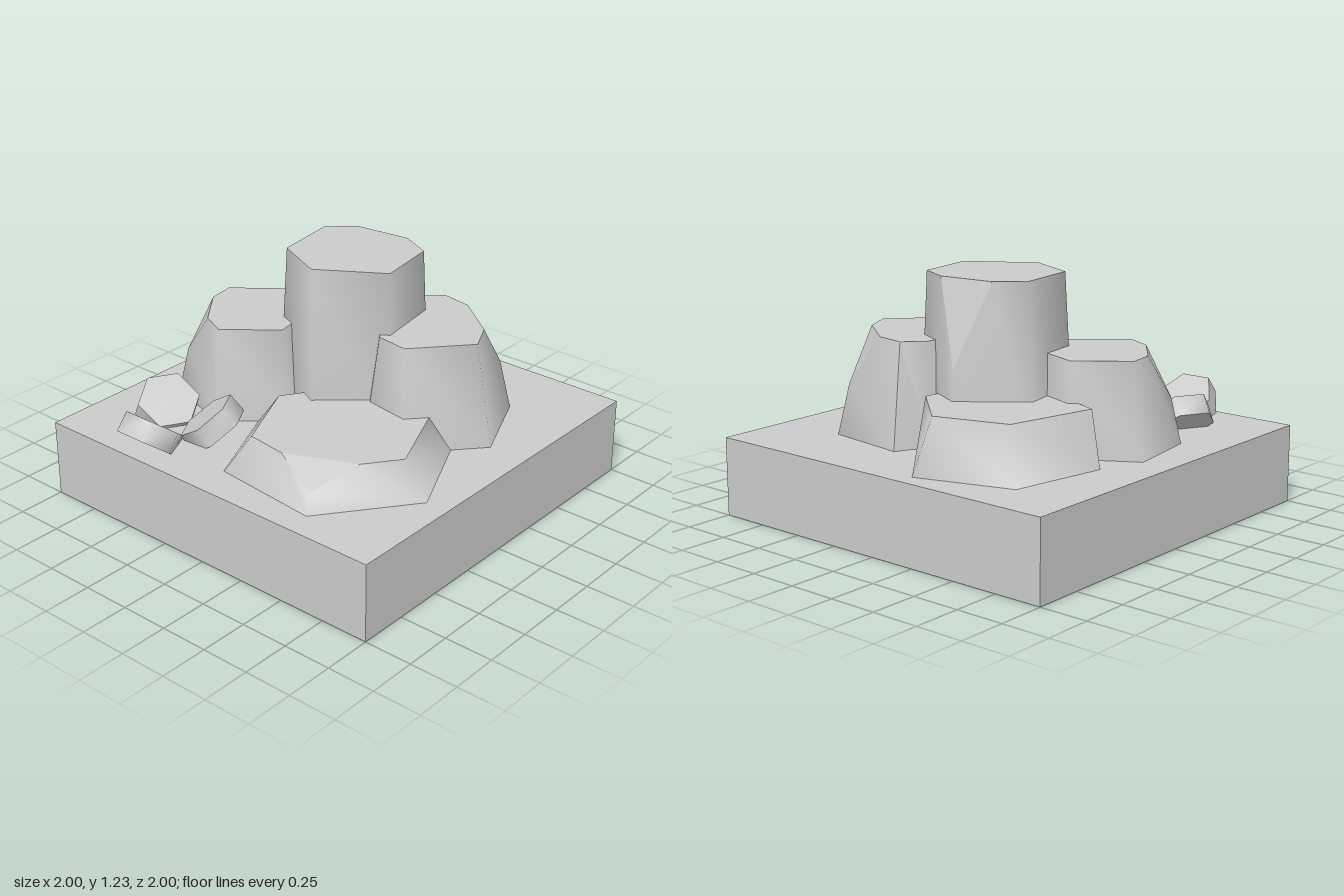
import * as THREE from 'three';
import { toCreasedNormals, mergeGeometries } from 'three/addons/utils/BufferGeometryUtils.js';

const GROUND = 0.4;
const material = new THREE.MeshStandardMaterial({ color: 0xcccccc });

// Flat list of triangles fanned over convex polygons
function fans(polygons) {
  const points = [];
  for (const p of polygons)
    for (let k = 1; k < p.length - 1; k++) points.push(p[0], p[k], p[k + 1]);
  const g = new THREE.BufferGeometry().setFromPoints(points);
  g.computeVertexNormals();
  return g;
}

// Tapered rock between two outlines of [x, z], clockwise from above;
// the corner with index chip is cut off halfway along its three edges
function rock(name, height, bottom, top, chip = -1) {
  const n = bottom.length;
  const b = bottom.map(([x, z]) => new THREE.Vector3(x, GROUND, z));
  const t = top.map(([x, z]) => new THREE.Vector3(x, height, z));
  const mid = (p, q) => p.clone().lerp(q, 0.5);
  const cut = chip >= 0 && {
    before: mid(t[chip], t[(chip + n - 1) % n]),
    after: mid(t[chip], t[(chip + 1) % n]),
    apex: mid(t[chip], b[chip]),
  };
  const sides = [], cap = [];
  for (let i = 0; i < n; i++) {
    const j = (i + 1) % n;
    sides.push([
      b[i],
      ...(i === chip ? [cut.apex, cut.after] : [t[i]]),
      ...(j === chip ? [cut.before, cut.apex] : [t[j]]),
      b[j],
    ]);
    cap.push(...(i === chip ? [cut.before, cut.after] : [t[i]]));
  }
  const flat = [cap.reverse(), b];
  if (cut) flat.push([cut.apex, cut.before, cut.after]);
  const geometry = mergeGeometries([toCreasedNormals(fans(sides), 1.2), fans(flat)]);
  const mesh = new THREE.Mesh(geometry, material);
  mesh.name = name;
  return mesh;
}

export function createModel() {
  const model = new THREE.Group();
  model.name = 'rockFormation';

  // Square ground block
  const base = new THREE.Mesh(new THREE.BoxGeometry(2, GROUND, 2), material);
  base.position.y = GROUND / 2;
  base.name = 'groundBlock';
  model.add(base);

  // Large rocks
  model.add(
    rock('centralRock', 1.23,
      [[-0.26, 0.04], [-0.09, -0.32], [0.30, -0.40], [0.545, -0.08], [0.37, 0.275], [0, 0.335]],
      [[-0.185, -0.02], [-0.06, -0.285], [0.27, -0.33], [0.50, -0.08], [0.34, 0.25], [0.015, 0.30]], 3),
    rock('frontRock', 0.915,
      [[-0.13, 0.51], [-0.085, 0.24], [0.2, 0.02], [0.49, 0.10], [0.655, 0.185], [0.60, 0.62], [0.19, 0.795]],
      [[-0.065, 0.455], [-0.04, 0.285], [0.2, 0.1], [0.47, 0.135], [0.56, 0.225], [0.51, 0.54], [0.20, 0.69]], 5),
    rock('backRock', 0.865,
      [[-0.47, -0.40], [-0.35, -0.78], [0.04, -0.835], [0.235, -0.515], [0.13, -0.2], [-0.235, -0.125]],
      [[-0.40, -0.435], [-0.27, -0.71], [0.005, -0.75], [0.19, -0.515], [0.10, -0.25], [-0.20, -0.195]], 1),
    rock('wideLowRock', 0.57,
      [[-0.865, 0.54], [-0.81, -0.025], [-0.34, -0.24], [0.1, 0.1], [0.1, 0.64], [-0.42, 0.88]],
      [[-0.755, 0.48], [-0.70, 0.055], [-0.31, -0.125], [0.02, 0.1], [0.02, 0.56], [-0.405, 0.74]], 0),
    rock('sideRock', 0.665,
      [[0.1, -0.4], [0.265, -0.755], [0.76, -0.665], [0.915, -0.18], [0.55, 0.13], [0.2, 0.1]],
      [[0.12, -0.4], [0.22, -0.67], [0.68, -0.565], [0.795, -0.195], [0.53, 0.09], [0.2, 0.05]]),
  );

  // Cluster of three slabs leaning outward from a common centre
  const cluster = new THREE.Group();
  cluster.name = 'smallRockCluster';
  cluster.position.set(-0.677, 0, -0.468);
  const slab = toCreasedNormals(new THREE.CylinderGeometry(0.157, 0.16, 0.105, 6), 1.2);
  for (const angle of [Math.PI, Math.PI / 3, -Math.PI / 3]) {
    const arm = new THREE.Group();
    arm.name = 'smallRock';
    arm.rotation.y = angle;
    const mesh = new THREE.Mesh(slab, material);
    mesh.name = 'smallRockSlab';
    mesh.position.set(0.178, 0.465, 0);
    mesh.rotation.z = 0.66;
    arm.add(mesh);
    cluster.add(arm);
  }
  model.add(cluster);

  return model;
}
